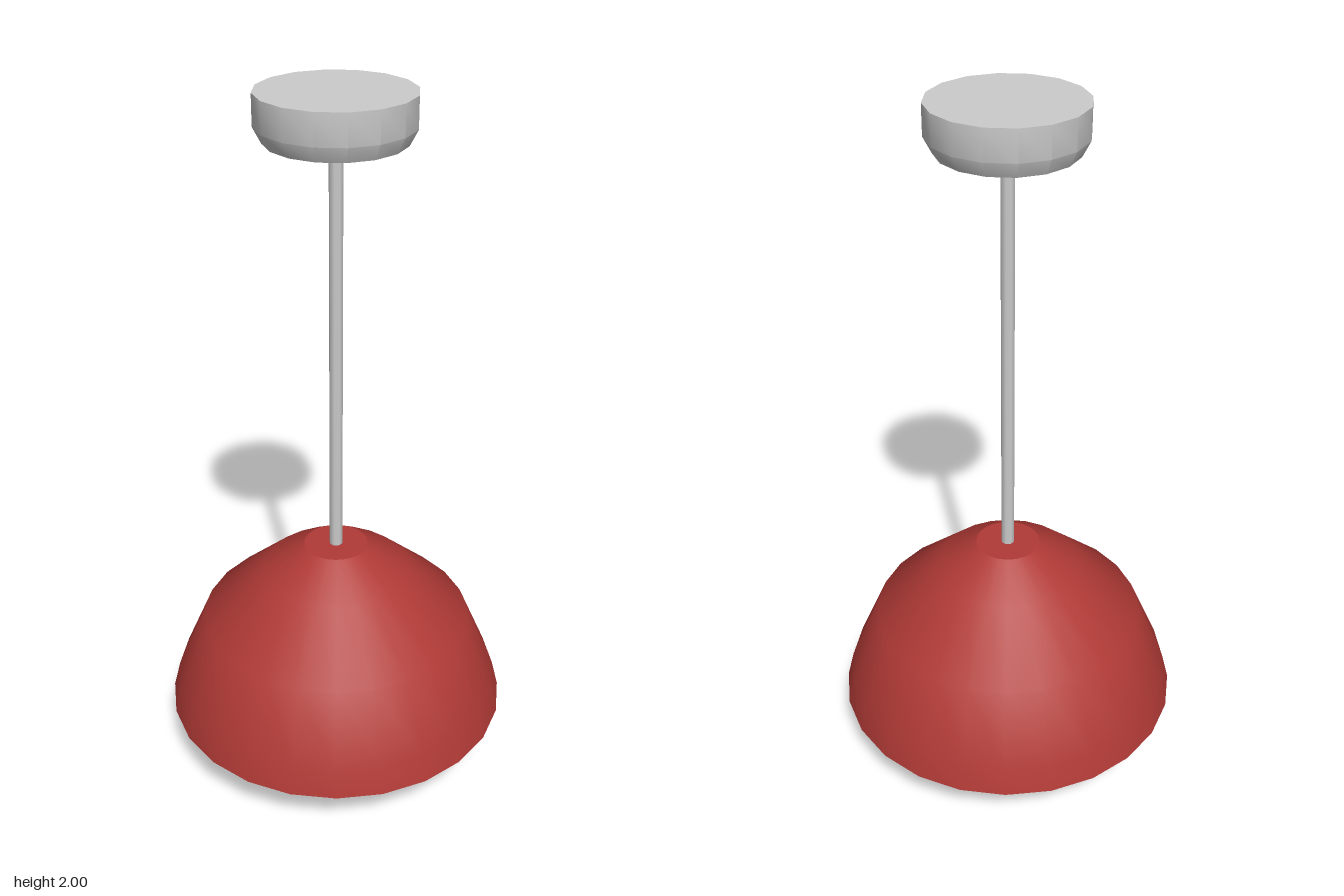
import * as THREE from 'three';
import { toCreasedNormals } from 'three/addons/utils/BufferGeometryUtils.js';

// Closed solid of revolution; profile runs from the bottom up, rims stay sharp
function turned(profile, sides) {
  const points = profile.map(([r, y]) => new THREE.Vector2(r, y));
  return toCreasedNormals(new THREE.LatheGeometry(points, sides), 0.55);
}

export function createModel() {
  const group = new THREE.Group();
  const grey = new THREE.MeshStandardMaterial({ color: 0xcccccc });
  const red = new THREE.MeshStandardMaterial({ color: 0xb03a36 });
  const amber = new THREE.MeshStandardMaterial({ color: 0xffbb77 });

  const add = (name, geometry, material, y = 0) => {
    const mesh = new THREE.Mesh(geometry, material);
    mesh.name = name;
    mesh.position.y = y;
    group.add(mesh);
  };

  // Ceiling mount with a chamfered lower edge
  add('ceilingMount', turned([[0, 1.875], [0.185, 1.875], [0.207, 1.917], [0.207, 2], [0, 2]], 16), grey);

  // Hanging rod
  add('rod', new THREE.CylinderGeometry(0.019, 0.019, 1.21, 8), grey, 1.285);

  // Domed shade, closed underneath
  add('shade', turned([
    [0, 0.175], [0.497, 0.175], [0.477, 0.255], [0.39, 0.457], [0.206, 0.62], [0.092, 0.695], [0, 0.695],
  ], 24), red);

  // Round bulb peeking out below the shade
  add('bulb', new THREE.SphereGeometry(0.14, 12, 6), amber, 0.14);

  return group;
}
